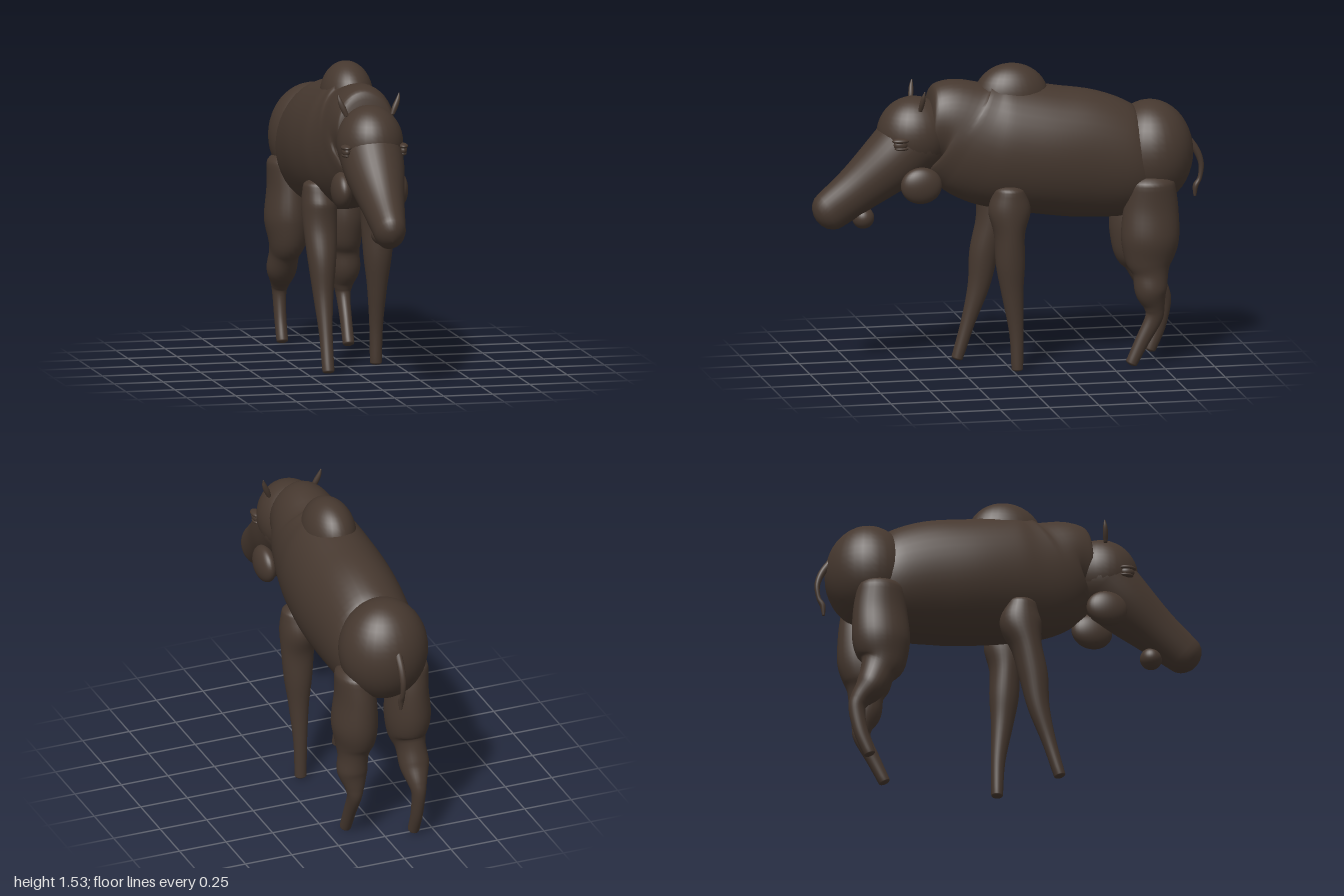
import * as THREE from 'three';

// Smooth closed skin around elliptical sections [x, y, z, half width, half depth]
function loft(sections, cap = 0.5, sides = 28) {
  const path = new THREE.CatmullRomCurve3(sections.map(s => new THREE.Vector3(s[0], s[1], s[2])), false, 'catmullrom', 0.5);
  const size = new THREE.CatmullRomCurve3(sections.map(s => new THREE.Vector3(s[3], s[4], 0)), false, 'catmullrom', 0.5);
  const X = new THREE.Vector3(1, 0, 0);
  const pos = [], index = [];
  const ring = (t, shrink, push) => {
    const T = path.getTangent(t), c = path.getPoint(t), r = size.getPoint(t);
    T.x = 0;
    T.normalize();
    const D = T.clone().cross(X);
    c.addScaledVector(T, push * r.y * cap);
    for (let j = 0; j < sides; j++) {
      const a = j / sides * Math.PI * 2;
      const p = c.clone().addScaledVector(X, Math.cos(a) * r.x * shrink).addScaledVector(D, Math.sin(a) * r.y * shrink);
      pos.push(p.x, p.y, p.z);
    }
  };
  const steps = (sections.length - 1) * 5, domes = 5;
  for (let k = 0; k < domes; k++) {
    const a = k / domes * Math.PI / 2;
    ring(0, Math.max(Math.sin(a), 0.001), -Math.cos(a));
  }
  for (let i = 0; i <= steps; i++) ring(i / steps, 1, 0);
  for (let k = 1; k <= domes; k++) {
    const a = k / domes * Math.PI / 2;
    ring(1, Math.max(Math.cos(a), 0.001), Math.sin(a));
  }
  const rings = pos.length / 3 / sides;
  for (let i = 0; i < rings - 1; i++) {
    for (let j = 0; j < sides; j++) {
      const a = i * sides + j, b = i * sides + (j + 1) % sides;
      index.push(a, b, a + sides, b, b + sides, a + sides);
    }
  }
  const g = new THREE.BufferGeometry();
  g.setAttribute('position', new THREE.Float32BufferAttribute(pos, 3));
  g.setIndex(index);
  g.computeVertexNormals();
  return g;
}

export function createModel() {
  const model = new THREE.Group();
  model.name = 'hoofedAnimal';
  const hide = new THREE.MeshStandardMaterial({ color: 0x46382f });
  hide.name = 'dark brown hide';

  const add = (name, geometry) => {
    const m = new THREE.Mesh(geometry, hide);
    m.name = name;
    model.add(m);
    return m;
  };
  const blob = (name, x, y, z, rx, ry, rz) => {
    const m = add(name, new THREE.SphereGeometry(1, 32, 22));
    m.position.set(x, y, z);
    m.scale.set(rx, ry, rz);
    return m;
  };

  // Torso and neck: [z, top, bottom, half width]
  const trunk = [
    [-0.72, 1.22, 0.80, 0.18], [-0.6, 1.295, 0.735, 0.222], [-0.4, 1.38, 0.74, 0.243],
    [-0.2, 1.415, 0.765, 0.25], [0, 1.45, 0.80, 0.235], [0.12, 1.475, 0.835, 0.212],
    [0.22, 1.495, 0.91, 0.19], [0.3, 1.475, 1.03, 0.17], [0.39, 1.44, 1.08, 0.145]
  ];
  add('torso', loft(trunk.map(([z, t, b, w]) => [0, (t + b) / 2, z, w, (t - b) / 2]), 0.12, 40));
  blob('shoulderHump', 0, 1.36, -0.02, 0.13, 0.175, 0.19);
  blob('rump', 0, 1.055, -0.725, 0.225, 0.262, 0.215);

  // Head
  blob('cranium', 0, 1.2, 0.475, 0.165, 0.19, 0.185);
  add('muzzle', loft([
    [0, 1.18, 0.47, 0.16, 0.175], [0, 1.06, 0.6, 0.145, 0.155],
    [0, 0.935, 0.755, 0.108, 0.122], [0, 0.83, 0.895, 0.08, 0.103]
  ], 0.85, 32));
  blob('chin', 0, 0.785, 0.73, 0.055, 0.055, 0.055);

  for (const s of [-1, 1]) {
    const side = s > 0 ? 'left' : 'right';
    blob(side + 'Cheek', s * 0.142, 0.965, 0.465, 0.05, 0.092, 0.104);
    // Eye with upper and lower lids
    blob(side + 'Eye', s * 0.143, 1.177, 0.57, 0.022, 0.026, 0.036);
    blob(side + 'UpperEyelid', s * 0.144, 1.197, 0.57, 0.026, 0.014, 0.044);
    blob(side + 'LowerEyelid', s * 0.143, 1.158, 0.565, 0.022, 0.011, 0.036);
    // Small pointed ear
    add(side + 'Ear', loft([
      [s * 0.118, 1.34, 0.465, 0.012, 0.01], [s * 0.132, 1.375, 0.46, 0.016, 0.013],
      [s * 0.146, 1.41, 0.455, 0.012, 0.011], [s * 0.155, 1.442, 0.45, 0.003, 0.003]
    ], 0.5, 12));
  }

  // Legs: [y, z, half width, half depth, x]
  const leg = (name, s, rows) =>
    add(name, loft(rows.map(([y, z, w, d, x = 0.15]) => [s * x, y, z, w, d]), 0.45));

  const shoulder = [[0.92, 0.02, 0.08, 0.08], [0.82, 0.02, 0.088, 0.106]];
  leg('leftFrontLeg', 1, [
    ...shoulder, [0.7, 0.02, 0.083, 0.077], [0.55, 0.015, 0.07, 0.073],
    [0.4, 0.005, 0.05, 0.055], [0.2, -0.015, 0.034, 0.036], [0.016, -0.02, 0.03, 0.029]
  ]);
  leg('rightFrontLeg', -1, [
    ...shoulder, [0.7, 0.05, 0.083, 0.077], [0.55, 0.085, 0.07, 0.073],
    [0.38, 0.112, 0.05, 0.055], [0.2, 0.165, 0.034, 0.036], [0.02, 0.22, 0.03, 0.029]
  ]);

  const thigh = [
    [0.92, -0.7, 0.09, 0.12], [0.8, -0.7, 0.1, 0.138, 0.14], [0.65, -0.695, 0.112, 0.146, 0.142],
    [0.54, -0.69, 0.095, 0.122, 0.14]
  ];
  leg('leftHindLeg', 1, [
    ...thigh, [0.47, -0.695, 0.075, 0.09], [0.38, -0.697, 0.075, 0.08, 0.155],
    [0.3, -0.715, 0.05, 0.052], [0.24, -0.712, 0.035, 0.044],
    [0.13, -0.655, 0.03, 0.036], [0.02, -0.6, 0.029, 0.03]
  ]);
  leg('rightHindLeg', -1, [
    ...thigh, [0.47, -0.715, 0.075, 0.09], [0.38, -0.755, 0.075, 0.075, 0.155],
    [0.31, -0.805, 0.05, 0.052], [0.25, -0.822, 0.035, 0.042],
    [0.13, -0.8, 0.03, 0.036], [0.02, -0.758, 0.029, 0.03]
  ]);

  // Tail with a small tuft
  add('tail', loft([
    [0, 1.12, -0.91, 0.02, 0.02], [0, 1.05, -0.96, 0.018, 0.018], [0, 0.98, -0.985, 0.015, 0.014],
    [0, 0.91, -0.978, 0.012, 0.011], [0, 0.87, -0.957, 0.016, 0.014], [0, 0.82, -0.953, 0.007, 0.007]
  ], 0.6, 14));

  return model;
}
